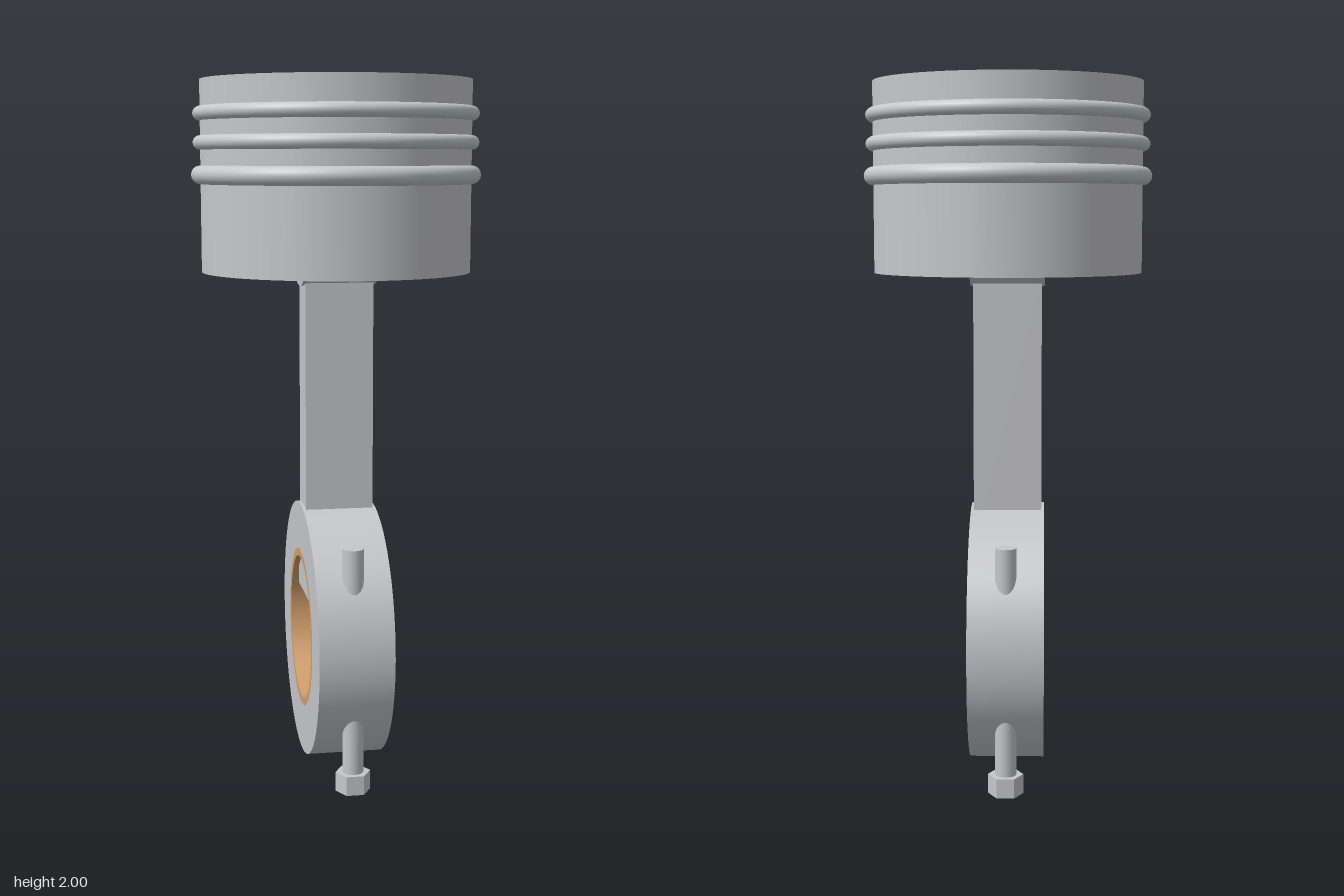
import * as THREE from 'three';
import { toCreasedNormals } from 'three/addons/utils/BufferGeometryUtils.js';

const steel = new THREE.MeshStandardMaterial({ color: 0xc6c7cb });
steel.name = 'steel';
const bronze = new THREE.MeshStandardMaterial({ color: 0xd29f6c });
bronze.name = 'bronze';

// Revolved profile with crisp edges
function lathe(points, segments = 72) {
  const profile = points.map(([r, y]) => new THREE.Vector2(r, y));
  return toCreasedNormals(new THREE.LatheGeometry(profile, segments), 0.5);
}

// Hollow ring of the given radii and half width, lying along x
function sleeve(inner, outer, half) {
  return lathe([[inner, -half], [outer, -half], [outer, half], [inner, half], [inner, -half]])
    .rotateZ(Math.PI / 2);
}

export function createModel() {
  const model = new THREE.Group();
  model.name = 'pistonAssembly';

  function add(name, geometry, material, x = 0, y = 0, z = 0) {
    const mesh = new THREE.Mesh(geometry, material);
    mesh.name = name;
    mesh.position.set(x, y, z);
    model.add(mesh);
    return mesh;
  }

  // Hollow piston with a closed crown
  add('piston', lathe([
    [0, 1.8], [0.345, 1.8], [0.345, 1.46], [0.386, 1.46], [0.386, 2], [0, 2],
  ], 96), steel);

  // Piston rings
  for (const [y, tube] of [[1.906, 0.02], [1.825, 0.02], [1.735, 0.026]]) {
    add('pistonRing', new THREE.TorusGeometry(0.387, tube, 16, 96).rotateX(Math.PI / 2), steel, 0, y);
  }

  // Wrist pin, its bosses and the small end of the rod
  const pinY = 1.605;
  add('wristPin', new THREE.CylinderGeometry(0.1, 0.1, 0.68, 48).rotateZ(Math.PI / 2), steel, 0, pinY);
  for (const side of [-1, 1]) {
    add('pinBoss', sleeve(0.09, 0.145, 0.075), steel, side * 0.245, pinY);
  }
  add('smallEnd', sleeve(0.1, 0.185, 0.107), steel, 0, pinY);

  // Connecting rod
  add('rodShank', new THREE.BoxGeometry(0.197, 0.79, 0.124), steel, 0, 1.085);

  // Big end with its bearing shell and inner block
  const bigY = 0.4;
  add('bigEnd', sleeve(0.234, 0.376, 0.107), steel, 0, bigY);
  add('bearingShell', sleeve(0.212, 0.235, 0.107), bronze, 0, bigY);
  add('capBlock', new THREE.BoxGeometry(0.18, 0.13, 0.324), steel, 0, 0.557);

  // Cap bolts with hexagonal heads
  for (const side of [-1, 1]) {
    const z = side * 0.298;
    add('boltShaft', new THREE.CylinderGeometry(0.03, 0.03, 0.67, 24), steel, 0, 0.375, z);
    const head = new THREE.CylinderGeometry(0.05, 0.05, 0.056, 6).rotateY(Math.PI / 6);
    add('boltHead', toCreasedNormals(head, 0.5), steel, 0, 0.028, z);
  }

  return model;
}
